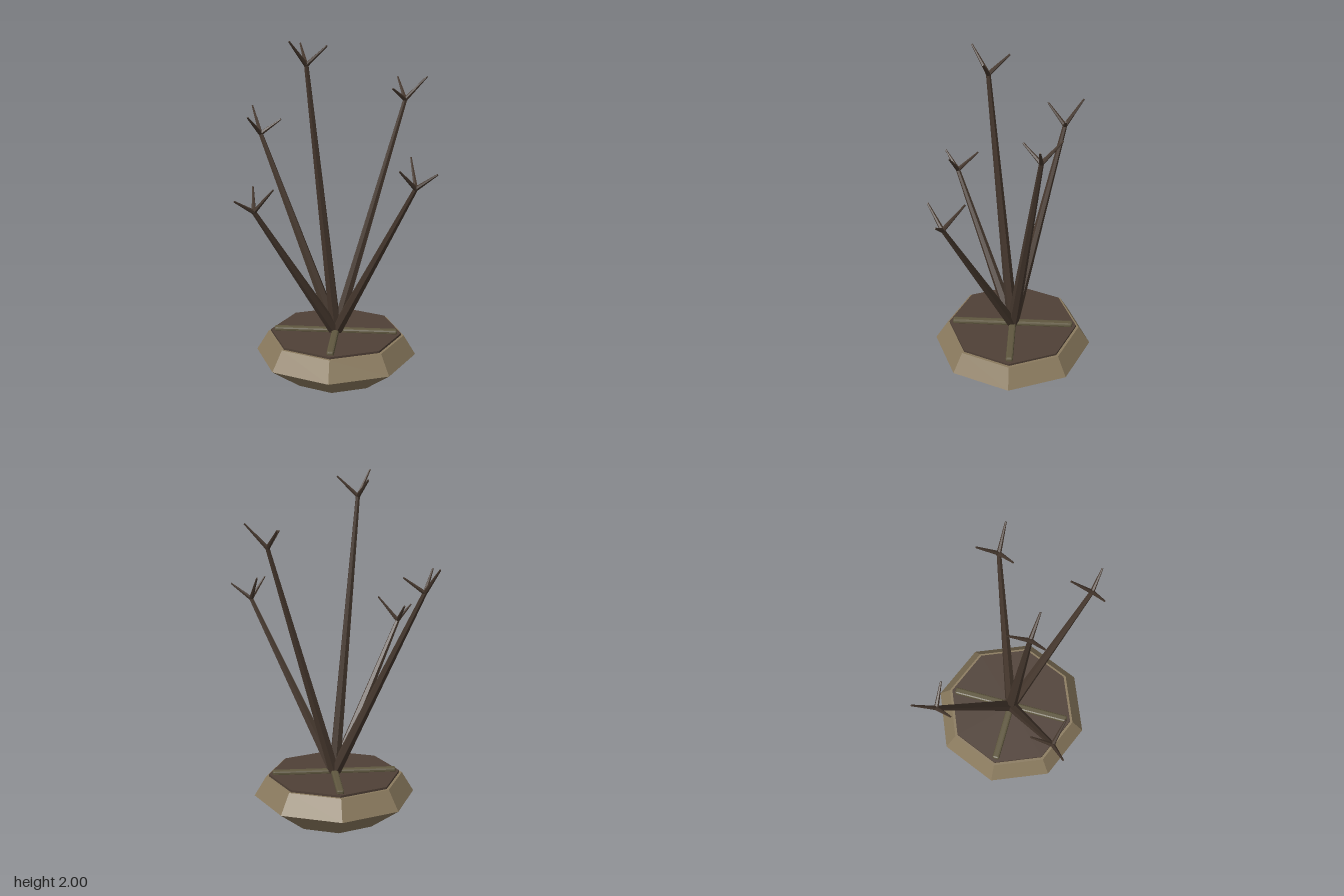
import * as THREE from 'three';
import { RoundedBoxGeometry } from 'three/addons/geometries/RoundedBoxGeometry.js';

const CENTRE_X = -0.025;
const material = (color) => new THREE.MeshStandardMaterial({ color, flatShading: true });
const stone = material(0x8a7a5e);
const soilBrown = material(0x4f4036);
const slatOlive = material(0x5f573f);
const bark = material(0x45372d);

function part(name, geometry, mat, parent) {
  const mesh = new THREE.Mesh(geometry, mat);
  mesh.name = name;
  parent.add(mesh);
  return mesh;
}

// Tapered six-sided rod between two points
function rod(name, from, to, r0, r1, parent) {
  const dir = to.clone().sub(from);
  const mesh = part(name, new THREE.CylinderGeometry(r1, r0, dir.length(), 6), bark, parent);
  mesh.position.copy(from).add(to).multiplyScalar(0.5);
  mesh.quaternion.setFromUnitVectors(new THREE.Vector3(0, 1, 0), dir.normalize());
  return mesh;
}

// Each branch: its fork point and the ends of its three twigs
const BRANCHES = [
  { fork: [-0.17, 1.86, 0.14], tips: [[-0.055, 1.97, 0.16], [-0.215, 1.96, 0.025], [-0.25, 2.0, 0.235]] },
  { fork: [-0.49, 1.38, -0.28], tips: [[-0.37, 1.468, -0.285], [-0.553, 1.525, -0.387], [-0.55, 1.497, -0.178]] },
  { fork: [0.355, 1.62, -0.17], tips: [[0.478, 1.755, -0.165], [0.307, 1.73, -0.28], [0.287, 1.7, -0.072]] },
  { fork: [0.435, 1.24, 0.345], tips: [[0.55, 1.328, 0.37], [0.403, 1.383, 0.225], [0.35, 1.355, 0.43]] },
  { fork: [-0.438, 1.09, 0.35], tips: [[-0.325, 1.228, 0.39], [-0.46, 1.2, 0.23], [-0.53, 1.17, 0.43]] },
];

export function createModel() {
  const model = new THREE.Group();
  model.name = 'branchPlanter';

  // Eight-sided pot with a widest line at mid height
  const base = new THREE.Group();
  base.name = 'planter';
  base.position.x = CENTRE_X;
  model.add(base);
  const profile = [[0, 0], [0.275, 0], [0.467, 0.14], [0.398, 0.255], [0, 0.255]];
  part('pot', new THREE.LatheGeometry(profile.map(([x, y]) => new THREE.Vector2(x, y)), 8), stone, base);

  // Soil slab
  part('soil', new THREE.CylinderGeometry(0.382, 0.382, 0.025, 8), soilBrown, base).position.y = 0.255;

  // Crossed slats with chamfered edges
  for (const turn of [0, 1]) {
    const slat = part('slat', new RoundedBoxGeometry(0.72, 0.03, 0.042, 1, 0.01), slatOlive, base);
    slat.position.y = 0.275;
    slat.rotation.y = turn * Math.PI / 2;
  }

  // Branches fanning out from the centre, each ending in three twigs
  const root = new THREE.Vector3(CENTRE_X, 0.265, 0);
  for (const { fork, tips } of BRANCHES) {
    const group = new THREE.Group();
    group.name = 'branch';
    model.add(group);
    const end = new THREE.Vector3(...fork);
    rod('stem', root, end, 0.035, 0.013, group);
    for (const tip of tips) rod('twig', end, new THREE.Vector3(...tip), 0.013, 0.005, group);
  }
  return model;
}
